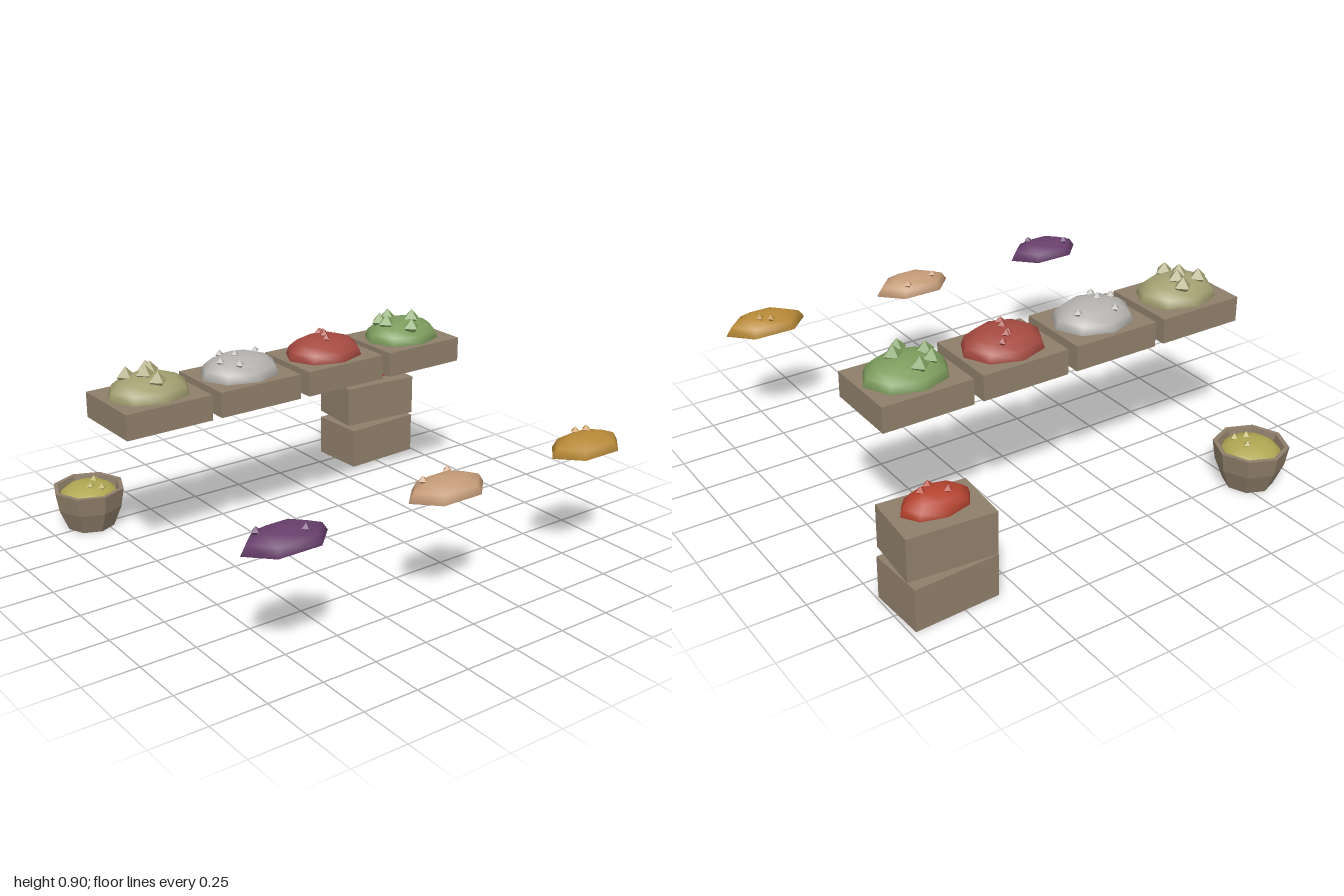
import * as THREE from 'three';

const paint = (color, flat = false) =>
  new THREE.MeshStandardMaterial({ color, flatShading: flat, side: THREE.DoubleSide });
const WOOD = 0x8f7f6a;

function add(parent, name, geometry, material, x, y, z) {
  const mesh = new THREE.Mesh(geometry, material);
  mesh.name = name;
  mesh.position.set(x, y, z);
  parent.add(mesh);
  return mesh;
}

// Hollow box without a bottom face
function openBox(w, h, d) {
  const geo = new THREE.BoxGeometry(w, h, d);
  const index = Array.from(geo.index.array);
  index.splice(18, 6);
  geo.setIndex(index);
  geo.clearGroups();
  return geo;
}

// Half-dome heap, open underneath, with small nuggets resting on its surface
function heap(parent, name, { color, at, size, sides, rings, nugget, spots }) {
  const group = new THREE.Group();
  group.name = name;
  group.position.set(...at);
  const [rx, ry, rz] = size;
  const dome = new THREE.SphereGeometry(1, sides, rings, 0, Math.PI * 2, 0, Math.PI / 2);
  dome.scale(rx, ry, rz);
  add(group, 'mound', dome, paint(color), 0, 0, 0);
  const bit = new THREE.OctahedronGeometry(nugget);
  const bitPaint = paint(color, true);
  for (const [x, z] of spots) {
    const y = ry * Math.sqrt(Math.max(0, 1 - (x / rx) ** 2 - (z / rz) ** 2));
    add(group, 'nugget', bit, bitPaint, x, y, z);
  }
  parent.add(group);
}

export function createModel() {
  const model = new THREE.Group();
  model.name = 'marketGoods';
  const wood = paint(WOOD, true);

  // Row of four trays, each with a heap
  const trays = [
    { color: 0xa3a072, nugget: 0.043, spots: [[-0.08, -0.05], [0.035, -0.085], [0.025, -0.03], [-0.02, 0.01], [0, 0.085]] },
    { color: 0xb4b2ae, nugget: 0.021, spots: [[-0.05, -0.09], [0.11, -0.045], [-0.11, 0.02], [-0.03, 0.01], [-0.055, 0.09]] },
    { color: 0xa54a40, nugget: 0.021, spots: [[0.06, -0.09], [0.01, -0.055], [0.022, -0.06], [0, 0.005], [-0.02, 0.05]] },
    { color: 0x7c9c5c, nugget: 0.043, spots: [[-0.015, -0.09], [-0.09, -0.055], [-0.095, 0.005], [0.04, 0.025], [-0.02, 0.1]] },
  ];
  const trayGeo = openBox(0.415, 0.115, 0.355);
  trays.forEach((tray, i) => {
    const x = -0.715 + i * 0.46;
    add(model, 'tray', trayGeo, wood, x, 0.7025, -0.31);
    heap(model, 'trayHeap', { ...tray, at: [x, 0.76, -0.31], size: [0.19, 0.095, 0.157], sides: 8, rings: 4 });
  });

  // Three low heaps along the front
  const loose = [
    { color: 0x683f6c, x: -0.805, spots: [[-0.1, -0.04], [0.06, 0.05]] },
    { color: 0xc49b78, x: -0.025, spots: [[-0.095, -0.035], [0.06, -0.07]] },
    { color: 0xb88a38, x: 0.755, spots: [[-0.005, -0.06], [0.04, -0.04]] },
  ];
  for (const { color, x, spots } of loose)
    heap(model, 'frontHeap', { color, spots, at: [x, 0.53, 0.837], size: [0.195, 0.075, 0.115], sides: 6, rings: 3, nugget: 0.021 });

  // Two stacked crates turned slightly against each other
  const crateGeo = openBox(0.39, 0.195, 0.27);
  add(model, 'lowerCrate', crateGeo, wood, 0.79, 0.0975, -0.737).rotation.y = 0.05;
  add(model, 'upperCrate', crateGeo, wood, 0.79, 0.3175, -0.737).rotation.y = -0.08;
  heap(model, 'crateHeap', {
    color: 0xb4432f, at: [0.793, 0.43, -0.737], size: [0.155, 0.08, 0.098], sides: 8, rings: 4,
    nugget: 0.021, spots: [[-0.04, -0.03], [0.055, 0.015], [0.01, 0.04]],
  });

  // Eight-sided bowl with a wall thickness
  const profile = [[0, 0], [0.112, 0], [0.153, 0.1], [0.168, 0.19], [0.147, 0.19], [0.13, 0.1], [0, 0.1]]
    .map(([r, y]) => new THREE.Vector2(r, y));
  add(model, 'bowl', new THREE.LatheGeometry(profile, 8), wood, -0.803, 0, -0.775);
  heap(model, 'bowlHeap', {
    color: 0xafa752, at: [-0.803, 0.14, -0.775], size: [0.14, 0.07, 0.14], sides: 10, rings: 4,
    nugget: 0.021, spots: [[0.04, -0.02], [-0.01, 0.045], [0.035, 0.07]],
  });

  return model;
}
